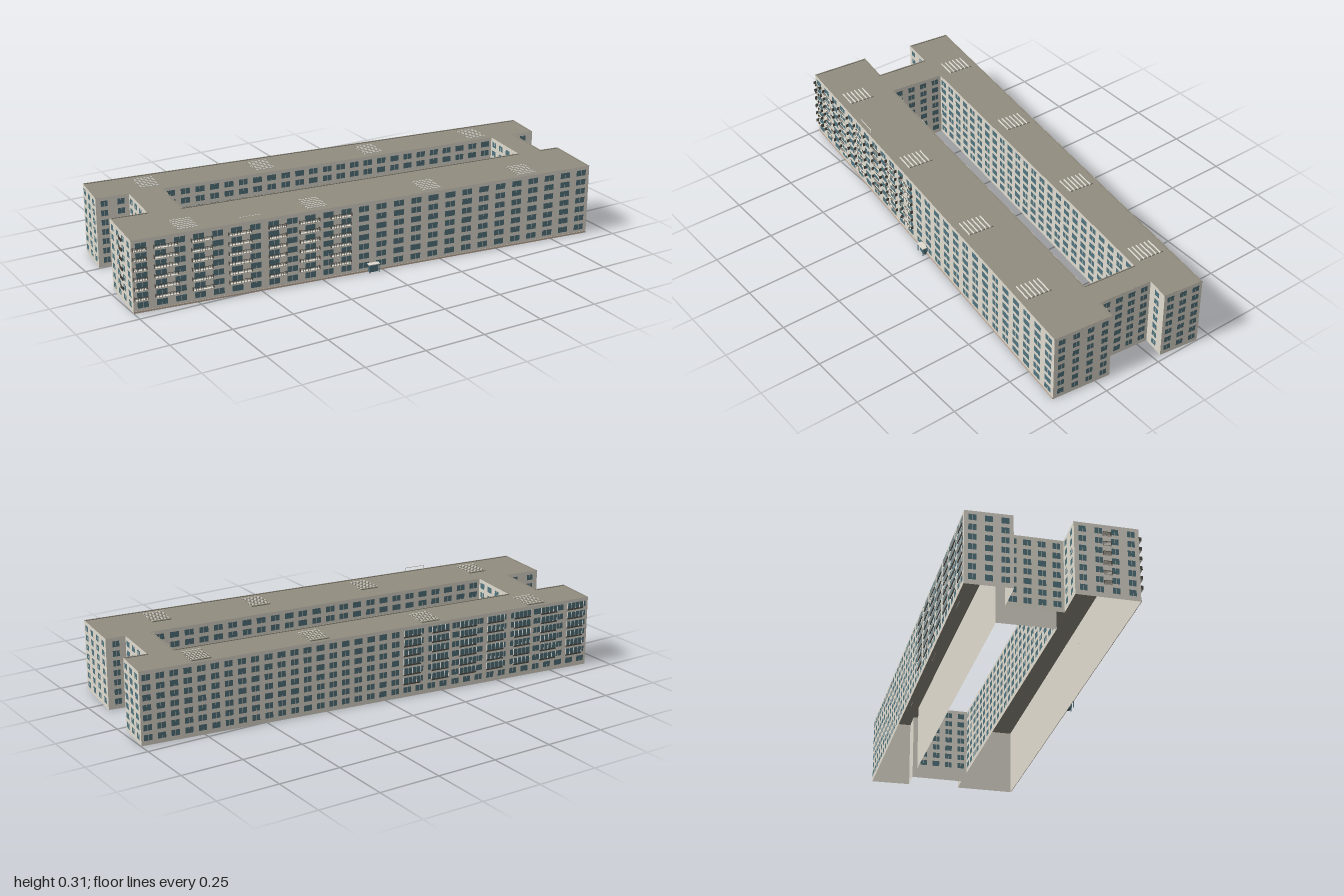
import * as THREE from 'three';
import { mergeGeometries } from 'three/addons/utils/BufferGeometryUtils.js';

const mat = (name, color) => {
  const m = new THREE.MeshStandardMaterial({ color });
  m.name = name;
  return m;
};

const H = 0.29, ROOF = 0.286, FLOOR = 0.039, FIRST = 0.03, FLOORS = 7;

// Plan corners as [x, z]
const outer = [
  [-1.0, 0.197], [0.915, 0.431], [0.942, 0.188], [0.863, 0.177], [0.885, -0.043], [0.976, -0.03],
  [0.998, -0.194], [-0.917, -0.434], [-0.94, -0.257], [-0.807, -0.24], [-0.83, -0.023], [-0.975, -0.043],
];
const court = [[-0.67, -0.225], [0.78, -0.055], [0.757, 0.165], [-0.698, 0.0]];

// Box with its centre at x, y, z
function box(w, h, d, x, y, z) {
  return new THREE.BoxGeometry(w, h, d).translate(x, y, z);
}

// Flat roof surface with the courtyard cut out
function roofPlan() {
  const pts = (list) => list.map(([x, z]) => new THREE.Vector2(x, -z));
  const shape = new THREE.Shape(pts(outer));
  shape.holes.push(new THREE.Path(pts(court)));
  return new THREE.ShapeGeometry(shape).rotateX(-Math.PI / 2).translate(0, ROOF, 0);
}

export function createModel() {
  const model = new THREE.Group();
  model.name = 'courtyardBuilding';
  const mats = {
    wall: mat('wall plaster', 0xe0dcd0),
    roof: mat('roof felt', 0x928d80),
    glass: mat('window glass', 0x52757f),
    dark: mat('dark metal', 0x55524b),
    rail: mat('pale railing', 0xf4f2ec),
    plinth: mat('plinth stone', 0xc4b0a0),
  };
  mats.wall.side = THREE.DoubleSide;
  mats.roof.side = THREE.DoubleSide;
  const add = (parent, name, geo, material) => {
    const mesh = new THREE.Mesh(Array.isArray(geo) ? mergeGeometries(geo) : geo, material);
    mesh.name = name;
    parent.add(mesh);
  };

  add(model, 'roofDeck', roofPlan(), mats.roof);

  // One wall of the open shell: local x runs along it, local z points outwards
  function facade(name, a, b, cols, pane) {
    const dx = b[0] - a[0], dz = b[1] - a[1], len = Math.hypot(dx, dz);
    const g = new THREE.Group();
    g.name = name;
    g.position.set(a[0], 0, a[1]);
    g.rotation.y = Math.atan2(-dz, dx);
    model.add(g);

    add(g, 'wall', new THREE.PlaneGeometry(len, H).translate(len / 2, H / 2, 0), mats.wall);
    add(g, 'coping', box(len, 0.003, 0.004, len / 2, H - 0.0016, -0.0022), mats.roof);

    const panes = [];
    for (let f = 0; f < FLOORS; f++) {
      for (let c = 0; c < cols; c++) {
        for (const side of [-1, 1]) {
          panes.push(new THREE.PlaneGeometry(pane, 0.0235).translate(
            (c + 0.5) * len / cols + side * (pane / 2 + 0.0007), FIRST + f * FLOOR, 0.0012));
        }
      }
    }
    add(g, 'windows', panes, mats.glass);
    return g;
  }

  // Open balconies above the ground floor
  function balconies(g, x, w, depth) {
    const slabs = [], rails = [], posts = [];
    for (let f = 1; f < FLOORS; f++) {
      const y = FIRST + f * FLOOR - 0.017;
      slabs.push(box(w, 0.002, depth, x, y, depth / 2));
      rails.push(box(w, 0.0015, 0.001, x, y + 0.014, depth));
      for (let i = 0; i <= 8; i++) {
        rails.push(box(0.0012, 0.014, 0.001, x + (i / 8 - 0.5) * w, y + 0.007, depth));
      }
      for (const s of [-0.5, 0.5]) {
        posts.push(box(0.002, 0.014, depth, x + s * w, y + 0.007, depth / 2));
      }
    }
    add(g, 'balconySlabs', slabs, mats.wall);
    add(g, 'balconyRailings', rails, mats.dark);
    add(g, 'balconySides', posts, mats.dark);
  }

  // Glazed loggias almost flush with the wall
  function loggias(g, x, w) {
    const glass = [], frames = [], sills = [];
    for (let f = 1; f < FLOORS; f++) {
      const y = FIRST + f * FLOOR;
      glass.push(box(w, 0.024, 0.002, x, y, 0.0015));
      sills.push(box(w, 0.006, 0.003, x, y - 0.015, 0.0015));
      for (let i = 0; i <= 4; i++) {
        frames.push(box(0.002, 0.024, 0.004, x + (i / 4 - 0.5) * w, y, 0.002));
      }
    }
    add(g, 'loggiaGlass', glass, mats.glass);
    add(g, 'loggiaFrames', frames, mats.rail);
    add(g, 'loggiaSills', sills, mats.dark);
  }

  // Outer walls: window columns and pane widths
  const outerSpec = [
    ['frontFacade', 26, 0.0205], ['leftFrontEnd', 4, 0.013], ['leftFrontReturn', 1, 0.013],
    ['leftLink', 4, 0.014], ['leftBackReturn', 1, 0.013], ['leftBackEnd', 3, 0.0138],
    ['backFacade', 36, 0.0155], ['rightBackEnd', 3, 0.0138], ['rightBackReturn', 2, 0.013],
    ['rightLink', 4, 0.014], ['rightFrontReturn', 2, 0.013], ['rightFrontEnd', 4, 0.013],
  ];
  const walls = {};
  outerSpec.forEach(([name, cols, pane], i) => {
    walls[name] = facade(name, outer[i], outer[(i + 1) % outer.length], cols, pane);
  });
  // Courtyard walls
  [24, 4, 24, 4].forEach((cols, i) => {
    facade('courtyardWall', court[i], court[(i + 1) % 4], cols, cols > 4 ? 0.018 : 0.014);
  });

  // Balcony and loggia stacks
  [[0.03, 0.05], [0.13, 0.09], [0.27, 0.08], [0.42, 0.09], [0.57, 0.07], [0.7, 0.08], [0.83, 0.085]]
    .forEach(([x, w]) => balconies(walls.frontFacade, x, w, 0.011));
  for (let i = 0; i < 7; i++) loggias(walls.backFacade, 1.12 + i * 0.125, 0.075);
  balconies(walls.rightFrontEnd, 0.122, 0.03, 0.004);

  // Entrance with canopy, and the plinth along the front
  const front = walls.frontFacade;
  add(front, 'plinth', box(1.929, 0.007, 0.002, 0.9645, 0.0035, 0.001), mats.plinth);
  add(front, 'entranceDoor', box(0.036, 0.032, 0.012, 0.965, 0.016, 0.006), mats.glass);
  add(front, 'entranceCanopy', box(0.046, 0.003, 0.022, 0.965, 0.034, 0.011), mats.wall);
  add(front, 'canopyPosts', [-1, 1].map((s) =>
    box(0.003, 0.033, 0.003, 0.965 + s * 0.02, 0.0165, 0.019)), mats.glass);

  // Open frame on the front roof edge
  add(front, 'roofFrame', [
    box(0.09, 0.002, 0.002, 0.463, 0.307, -0.009),
    ...[-1, 1].map((s) => box(0.002, 0.022, 0.002, 0.463 + s * 0.044, 0.296, -0.009)),
  ], mats.rail);

  // Louvred roof vents
  const vents = [
    [-0.695, -0.33], [-0.215, -0.27], [0.26, -0.21], [0.737, -0.15],
    [-0.76, 0.135], [-0.247, 0.2], [0.235, 0.262], [0.655, 0.315],
  ];
  for (const [x, z] of vents) {
    const g = new THREE.Group();
    g.name = 'roofVent';
    g.position.set(x, ROOF, z);
    g.rotation.y = -0.12;
    model.add(g);
    const slats = [], edges = [];
    for (let i = 0; i < 6; i++) {
      const sz = (i - 2.5) * 0.018;
      slats.push(box(0.08, 0.004, 0.011, 0, 0.002, sz));
      edges.push(box(0.08, 0.0042, 0.0035, 0, 0.0021, sz + 0.0073));
    }
    add(g, 'ventSlats', slats, mats.roof);
    add(g, 'ventEdges', edges, mats.rail);
  }
  return model;
}
